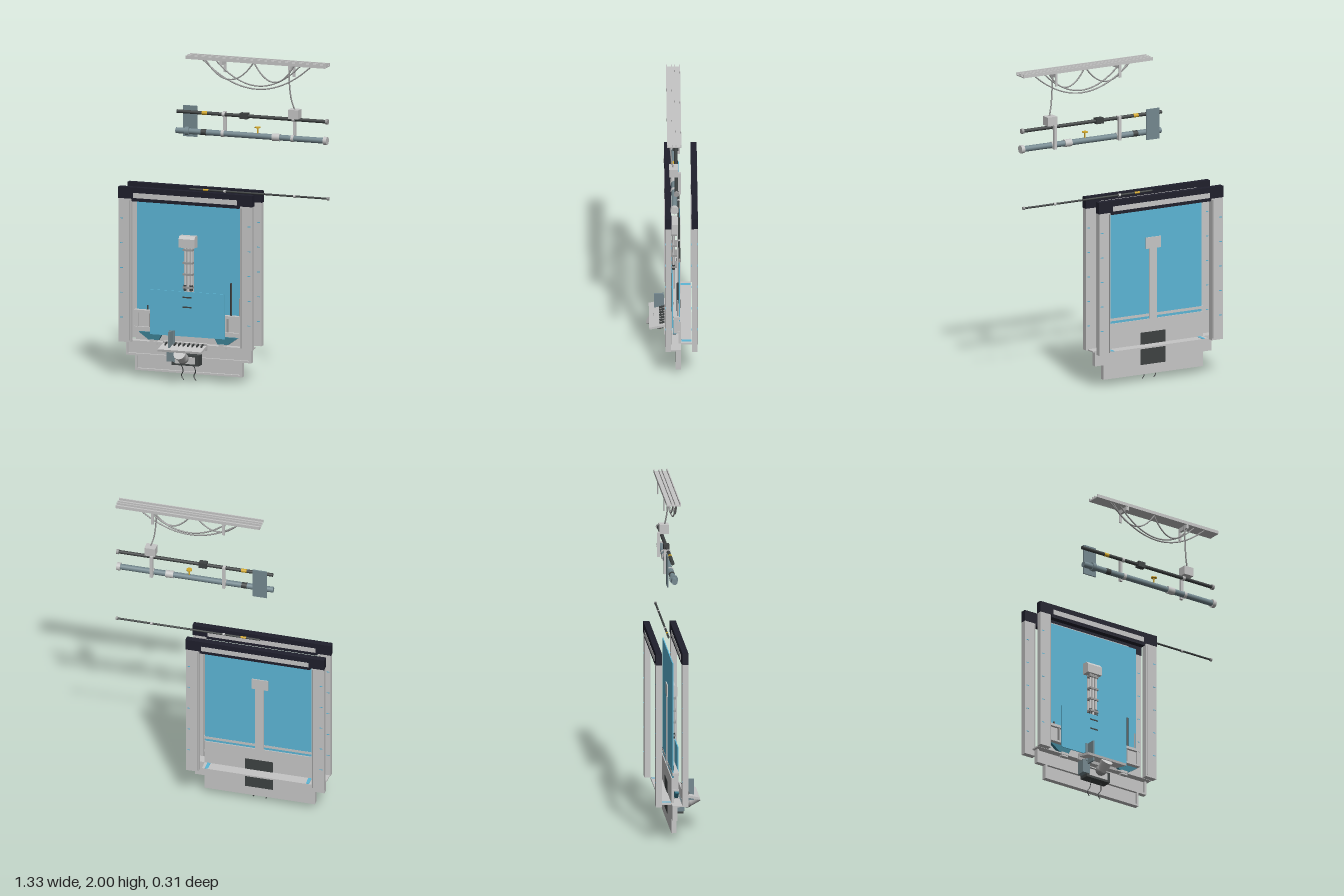
import * as THREE from 'three';

const mat = (name, color, double) => {
  const m = new THREE.MeshStandardMaterial({ color });
  m.name = name;
  if (double) m.side = THREE.DoubleSide;
  return m;
};

export function createModel() {
  const M = {
    grey: mat('lightGrey', 0xc6c6c6),
    mid: mat('midGrey', 0x9c9c9c),
    dark: mat('charcoal', 0x3e4242),
    cap: mat('midnight', 0x1f1f2c),
    blue: mat('glassBlue', 0x5cb6d6, true),
    steel: mat('blueSteel', 0x74888f),
    teal: mat('deepTeal', 0x3c8094),
    yellow: mat('amber', 0xd4a828),
  };
  const model = new THREE.Group();
  const group = (name) => {
    const g = new THREE.Group();
    g.name = name;
    model.add(g);
    return g;
  };
  const add = (g, name, geo, m) => {
    const mesh = new THREE.Mesh(geo, m);
    mesh.name = name;
    g.add(mesh);
    return mesh;
  };
  // box from its min and max on each axis
  const box = (g, name, m, x0, x1, y0, y1, z0, z1) => {
    const b = add(g, name, new THREE.BoxGeometry(x1 - x0, y1 - y0, z1 - z0), m);
    b.position.set((x0 + x1) / 2, (y0 + y1) / 2, (z0 + z1) / 2);
    return b;
  };
  const rodX = (g, name, m, x0, x1, y, z, r) => {
    const c = add(g, name, new THREE.CylinderGeometry(r, r, x1 - x0, 16), m);
    c.rotation.z = Math.PI / 2;
    c.position.set((x0 + x1) / 2, y, z);
    return c;
  };
  const rodY = (g, name, m, x, y0, y1, z, r) => {
    const c = add(g, name, new THREE.CylinderGeometry(r, r, y1 - y0, 12), m);
    c.position.set(x, (y0 + y1) / 2, z);
    return c;
  };
  const cable = (g, name, m, pts, r) => {
    const path = new THREE.CatmullRomCurve3(pts.map((p) => new THREE.Vector3(...p)));
    return add(g, name, new THREE.TubeGeometry(path, 28, r, 6), m);
  };
  const CX = -0.2325; // centre line of the booth

  // two upright door frames with dark headers
  for (const [name, z0, z1] of [['frontFrame', 0.01, 0.045], ['backFrame', -0.15, -0.115]]) {
    const g = group(name);
    for (const s of [-1, 1]) {
      const a = CX + s * 0.43, b = CX + s * 0.352;
      box(g, 'post', M.grey, Math.min(a, b), Math.max(a, b), 0.22, 1.1, z0, z1);
      const c = CX + s * 0.358, d = CX + s * 0.362;
      for (const z of [z0 - 0.001, z1 + 0.001])
        box(g, 'postSeam', M.mid, Math.min(c, d), Math.max(c, d), 0.23, 1.09, z - 0.0005, z + 0.0005);
      for (let i = 0; i < 5; i++)
        box(g, 'marker', M.blue, CX + s * 0.412 - 0.009, CX + s * 0.412 + 0.009,
          0.368 + i * 0.152, 0.373 + i * 0.152, z0 - 0.001, z1 + 0.001);
    }
    box(g, 'header', M.cap, CX - 0.4325, CX + 0.4325, 1.1, 1.17, z0 - 0.001, z1 + 0.001);
    box(g, 'headerLip', M.cap, CX - 0.345, CX + 0.345, 1.085, 1.1, z0, z1);
    box(g, 'headerStrip', M.grey, CX - 0.336, CX + 0.336, 1.106, 1.137, z0 - 0.003, z1 + 0.003);
  }

  // glass wall
  const wall = group('glassWall');
  box(wall, 'glass', M.blue, -0.575, 0.107, 0.36, 1.09, -0.044, -0.038);

  // stepped base panel with a raised rim
  const base = group('basePanel');
  box(base, 'panel', M.grey, -0.58, 0.11, 0.04, 0.38, -0.05, -0.035);
  box(base, 'wings', M.grey, -0.64, 0.168, 0.13, 0.225, -0.049, -0.034);
  for (const [x0, x1, y] of [[-0.58, 0.11, 0.04], [-0.64, 0.168, 0.13]]) {
    box(base, 'rimBottom', M.grey, x0, x1, y, y + 0.012, -0.035, -0.018);
    box(base, 'rimLeft', M.grey, x1 - 0.012, x1, y, y + 0.09, -0.035, -0.018);
    box(base, 'rimRight', M.grey, x0, x0 + 0.012, y, y + 0.09, -0.035, -0.018);
  }
  box(base, 'wingTop', M.grey, -0.655, 0.185, 0.218, 0.226, -0.05, 0.01);
  box(base, 'backHatch', M.dark, -0.32, -0.145, 0.1, 0.3, -0.052, -0.048);
  box(base, 'ledge', M.grey, -0.58, 0.107, 0.216, 0.226, -0.115, -0.05);
  for (const x of [-0.55, 0.08])
    box(base, 'ledgeStripe', M.blue, x - 0.01, x + 0.01, 0.226, 0.228, -0.113, -0.052);

  // workbench behind the screen
  const bench = group('bench');
  box(bench, 'benchBack', M.grey, -0.58, 0.11, 0.31, 0.395, -0.035, -0.022);
  box(bench, 'benchTop', M.grey, -0.585, 0.113, 0.395, 0.412, -0.045, -0.005);
  box(bench, 'benchShelf', M.grey, -0.585, 0.113, 0.298, 0.31, -0.045, -0.005);
  for (const s of [-1, 1]) {
    box(bench, 'benchEnd', M.grey, CX + s * 0.335 - 0.01, CX + s * 0.335 + 0.01, 0.31, 0.4, -0.03, -0.008);
    box(bench, 'benchDivider', M.mid, CX + s * 0.25 - 0.005, CX + s * 0.25 + 0.005, 0.31, 0.4, -0.03, -0.01);
    // tapered flare and foot below the bench
    const flare = new THREE.Shape([[-0.085, 0.28], [0.07, 0.28], [0.045, 0.235], [-0.02, 0.235]]
      .map(([x, y]) => new THREE.Vector2(x, y)));
    const f = add(bench, 'flare', new THREE.ExtrudeGeometry(flare, { depth: 0.02, bevelEnabled: false }), M.teal);
    f.position.set(CX + s * 0.235, 0, -0.022);
    if (s > 0) { f.rotation.y = Math.PI; f.position.z = -0.002; }
    box(bench, 'foot', M.grey, CX + s * 0.222 - 0.022, CX + s * 0.222 + 0.022, 0.208, 0.236, -0.02, 0.006);
  }
  rodY(bench, 'tallRod', M.dark, 0.035, 0.41, 0.61, -0.03, 0.006);
  rodY(bench, 'midRod', M.mid, 0.09, 0.41, 0.52, -0.03, 0.005);
  rodY(bench, 'shortRod', M.dark, -0.505, 0.41, 0.44, -0.035, 0.006);

  // blue screen with slots
  const screen = group('screen');
  box(screen, 'screenPanel', M.blue, -0.475, 0.005, 0.27, 0.545, -0.003, 0.003);
  for (const y of [0.45, 0.51]) box(screen, 'slot', M.dark, -0.265, -0.207, y - 0.004, y + 0.004, 0.002, 0.005);

  // pipe column with clamps and a rounded head
  const col = group('pipeColumn');
  box(col, 'backStrip', M.grey, -0.26, -0.208, 0.36, 0.82, -0.05, -0.03);
  for (const x of [-0.254, -0.235, -0.214]) rodY(col, 'pipe', M.grey, x, 0.3, 0.82, -0.008, 0.0075);
  for (const y of [0.57, 0.65, 0.72, 0.8]) box(col, 'clamp', M.mid, -0.266, -0.204, y - 0.006, y + 0.006, -0.03, 0.006);
  for (const x of [-0.254, -0.214]) rodY(col, 'joint', M.dark, x, 0.55, 0.585, -0.008, 0.01);
  const headShape = new THREE.Shape([[-0.05, 0.815], [0.014, 0.815], [0.014, 0.868], [0.0, 0.885], [-0.05, 0.885]]
    .map(([z, y]) => new THREE.Vector2(-z, y)));
  const head = add(col, 'head', new THREE.ExtrudeGeometry(headShape, { depth: 0.102, bevelEnabled: false }), M.grey);
  head.rotation.y = Math.PI / 2;
  head.position.x = -0.288;

  // tilted tray with fingers, and the control unit under it
  const tray = group('tray');
  const pan = new THREE.Group();
  pan.name = 'trayPan';
  pan.position.set(-0.235, 0.213, 0.09);
  pan.rotation.x = 0.22;
  tray.add(pan);
  box(pan, 'trayPlate', M.grey, -0.14, 0.14, -0.008, 0.006, -0.055, 0.05);
  box(pan, 'trayRail', M.grey, -0.14, 0.14, -0.025, 0.018, -0.06, -0.048);
  for (let i = 0; i < 9; i++)
    box(pan, 'finger', M.dark, -0.118 + i * 0.029, -0.112 + i * 0.029, 0.005, 0.018, -0.05, -0.015);
  box(tray, 'sidePlate', M.steel, -0.33, -0.298, 0.18, 0.312, 0.052, 0.11).scale.x = 0.35;
  box(tray, 'frontPlate', M.steel, -0.332, -0.298, 0.2, 0.312, 0.05, 0.056);
  box(tray, 'sideBox', M.steel, -0.35, -0.298, 0.12, 0.205, -0.005, 0.05);
  box(tray, 'controlBox', M.dark, -0.32, -0.148, 0.1, 0.165, -0.018, 0.045);
  box(tray, 'controlFace', M.grey, -0.3, -0.168, 0.112, 0.155, 0.04, 0.05);
  const nozzle = add(tray, 'nozzle', new THREE.CylinderGeometry(0.038, 0.026, 0.075, 16), M.grey);
  nozzle.position.set(-0.235, 0.165, 0.105);
  nozzle.rotation.x = 0.9;
  const dome = add(tray, 'dome', new THREE.SphereGeometry(0.034, 16, 10), M.mid);
  dome.position.set(-0.235, 0.15, 0.075);
  for (const x of [-0.275, -0.195])
    cable(tray, 'wire', M.dark, [[x, 0.11, 0.015], [x + 0.012, 0.06, 0], [x - 0.002, 0.03, -0.008], [x + 0.012, 0.002, -0.008]], 0.003);

  // ceiling channel with hangers and draped cables
  const ceil = group('ceilingRail');
  box(ceil, 'channelFloor', M.grey, -0.235, 0.665, 1.98, 1.986, -0.048, 0.038);
  for (const z of [-0.045, -0.015, 0.005, 0.035])
    box(ceil, 'channelRib', M.grey, -0.235, 0.665, 1.984, 2, z - 0.003, z + 0.003);
  for (const x of [-0.008, 0.435]) {
    box(ceil, 'hanger', M.grey, x - 0.008, x + 0.008, 1.9, 1.982, -0.046, -0.038);
    box(ceil, 'hangerArm', M.grey, x - 0.008, x + 0.008, 1.955, 1.982, -0.045, 0.035);
  }
  for (const [x0, x1, y, z] of [[-0.13, 0.57, 1.822, 0.02], [-0.11, 0.2, 1.87, 0.024], [0.2, 0.46, 1.87, 0.016], [-0.05, 0.5, 1.84, 0.012]]) {
    const pts = [];
    for (let i = 0; i <= 8; i++) {
      const t = i / 4 - 1;
      pts.push([(x0 + x1) / 2 + t * (x1 - x0) / 2, y + (1.982 - y) * t * t, z]);
    }
    cable(ceil, 'drapedCable', M.mid, pts, 0.0045);
  }
  cable(ceil, 'dropCable', M.mid, [[0.425, 1.98, 0.015], [0.43, 1.86, 0.018], [0.44, 1.77, 0.012], [0.46, 1.7, 0]], 0.0045);

  // pair of supply pipes
  const sup = group('supplyPipes');
  rodX(sup, 'upperPipe', M.dark, -0.31, 0.655, 1.645, -0.018, 0.011);
  rodX(sup, 'lowerPipe', M.steel, -0.31, 0.65, 1.53, -0.006, 0.018);
  rodX(sup, 'upperCap', M.mid, 0.65, 0.665, 1.645, -0.018, 0.016);
  rodX(sup, 'lowerCap', M.grey, 0.643, 0.665, 1.53, -0.006, 0.025);
  rodX(sup, 'amberBand', M.yellow, -0.147, -0.113, 1.645, -0.018, 0.0118);
  rodX(sup, 'darkBand', M.dark, -0.147, -0.113, 1.53, -0.006, 0.0187);
  box(sup, 'upperCoupler', M.dark, 0.1, 0.15, 1.628, 1.663, -0.035, 0);
  rodX(sup, 'lowerCoupler', M.grey, 0.312, 0.36, 1.53, -0.006, 0.023);
  box(sup, 'endPlate', M.steel, -0.28, -0.19, 1.49, 1.68, -0.048, -0.04);
  rodX(sup, 'pipeCollar', M.steel, -0.25, -0.225, 1.53, -0.006, 0.026);
  for (const x of [-0.008, 0.442]) {
    box(sup, 'bracket', M.grey, x - 0.009, x + 0.009, 1.51, 1.66, -0.046, -0.03);
    for (const [y, z, r] of [[1.645, -0.018, 0.014], [1.53, -0.006, 0.021]]) rodX(sup, 'clamp', M.grey, x - 0.009, x + 0.009, y, z, r);
  }
  rodY(sup, 'valveStem', M.yellow, 0.215, 1.54, 1.582, -0.006, 0.004);
  rodY(sup, 'valveWheel', M.yellow, 0.215, 1.58, 1.586, -0.006, 0.018);
  box(sup, 'junctionBox', M.grey, 0.422, 0.488, 1.655, 1.71, -0.032, 0.024);

  // thin pipe above the headers
  const thin = group('thinPipe');
  rodX(thin, 'thinPipe', M.dark, -0.235, 0.657, 1.17, -0.036, 0.006);
  rodX(thin, 'thinCap', M.mid, 0.652, 0.665, 1.17, -0.036, 0.01);
  rodX(thin, 'thinBand', M.yellow, -0.147, -0.113, 1.17, -0.036, 0.0066);
  for (const x of [-0.008, 0.442]) rodX(thin, 'thinClamp', M.grey, x - 0.007, x + 0.007, 1.17, -0.036, 0.009);

  return model;
}
